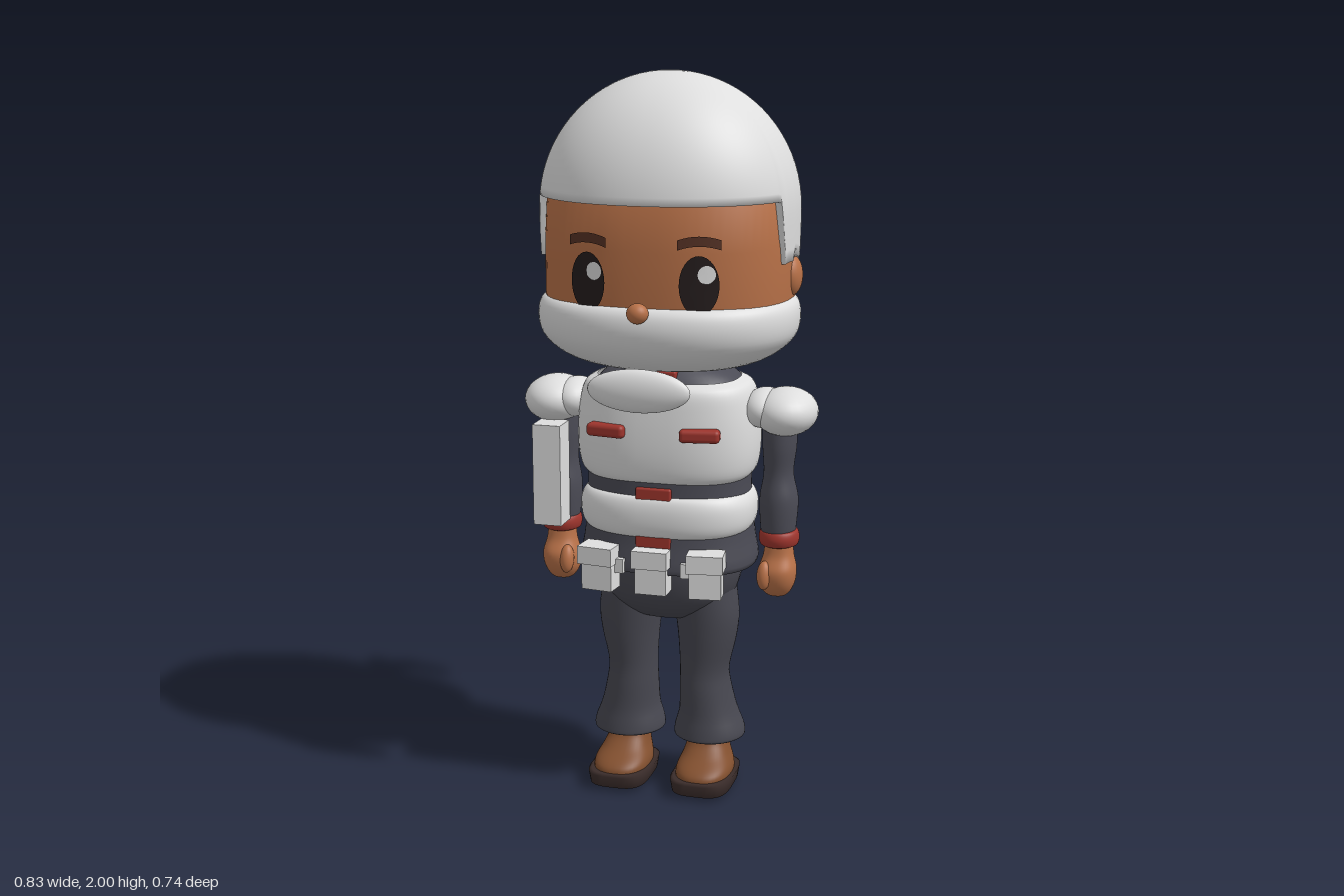
import * as THREE from 'three';
import { RoundedBoxGeometry } from 'three/addons/geometries/RoundedBoxGeometry.js';

const mat = (name, color, side = THREE.FrontSide) => {
  const m = new THREE.MeshStandardMaterial({ color, side });
  m.name = name;
  return m;
};

// Closed tube grid: point(angle, row) gives a position, rows run upwards
function grid(point, segs, rows) {
  const pos = [], idx = [];
  for (let j = 0; j < rows; j++)
    for (let i = 0; i < segs; i++) pos.push(...point((i / segs) * Math.PI * 2, j));
  for (let j = 0; j < rows - 1; j++)
    for (let i = 0; i < segs; i++) {
      const k = (i + 1) % segs, a = j * segs + i, b = j * segs + k;
      idx.push(a, a + segs, b, b, a + segs, b + segs);
    }
  const g = new THREE.BufferGeometry();
  g.setAttribute('position', new THREE.Float32BufferAttribute(pos, 3));
  g.setIndex(idx);
  g.computeVertexNormals();
  return g;
}

const sup = (c, n) => Math.sign(c) * Math.pow(Math.abs(c), 2 / n);

// Loft through rounded sections [y, radiusX, radiusZ, centreZ, centreX]
function loft(rows, n = 2, segs = 40) {
  return grid((a, j) => {
    const [y, rx, rz, cz = 0, cx = 0] = rows[j];
    return [cx + rx * sup(Math.cos(a), n), y, cz + rz * sup(Math.sin(a), n)];
  }, segs, rows.length);
}

// Rows smoothed with a spline
function smooth(rows, count = 28) {
  const p = new THREE.CatmullRomCurve3(rows.map(r => new THREE.Vector3(r[1], r[0], r[2])), false, 'centripetal');
  const q = new THREE.CatmullRomCurve3(rows.map(r => new THREE.Vector3(r[3] || 0, r[4] || 0, 0)), false, 'catmullrom');
  return Array.from({ length: count + 1 }, (_, i) => {
    const a = p.getPoint(i / count), b = q.getPoint(i / count);
    return [a.y, Math.max(a.x, 0), Math.max(a.z, 0), b.x, b.y];
  });
}

export function createModel() {
  const root = new THREE.Group();
  root.name = 'figure';
  const white = mat('white', 0xdedede, THREE.DoubleSide);
  const skin = mat('skin', 0xb87148);
  const cloth = mat('dark cloth', 0x4b4b55, THREE.DoubleSide);
  const trousers = mat('trousers', 0x474750, THREE.DoubleSide);
  const red = mat('red', 0x9e352d);
  const leather = mat('shoe brown', 0x83502f);
  const sole = mat('sole', 0x3a2c2a);
  const black = mat('eye black', 0x241c1c);
  const brown = mat('brow brown', 0x563225);

  const add = (name, geo, m, x = 0, y = 0, z = 0, parent = root) => {
    const mesh = new THREE.Mesh(geo, m);
    mesh.name = name;
    mesh.position.set(x, y, z);
    parent.add(mesh);
    return mesh;
  };
  const blob = (name, m, r, p, parent = root) => {
    const g = new THREE.SphereGeometry(1, 28, 18);
    g.scale(...r);
    return add(name, g, m, ...p, parent);
  };

  // Head and face
  const HX = 0.338, HZ = 0.285, HC = 0.025, HN = 2.3;
  add('head', loft([[1.2, 0, 0, HC], [1.22, 0.2, 0.17, HC], [1.3, 0.32, 0.27, HC], [1.4, HX, HZ, HC],
    [1.55, HX, HZ, HC], [1.7, 0.33, 0.28, HC], [1.85, 0.22, 0.19, HC], [1.92, 0, 0, HC]], HN, 64), skin);
  const onFace = (g, lift) => {
    const p = g.attributes.position;
    for (let i = 0; i < p.count; i++) {
      const x = p.getX(i);
      p.setZ(i, HC + HZ * Math.pow(1 - Math.pow(Math.abs(x) / HX, HN), 1 / HN) + lift);
    }
    g.computeVertexNormals();
    return g;
  };
  const disc = (rx, ry, x, y) => new THREE.CircleGeometry(1, 32).scale(rx, ry, 1).translate(x, y, 0);
  for (const s of [-1, 1]) {
    add('eye', onFace(disc(0.05, 0.078, s * 0.15, 1.468), 0.004), black);
    add('eyeHighlight', onFace(disc(0.022, 0.024, s * 0.15 + 0.02, 1.497), 0.007), white);
    const brow = new THREE.PlaneGeometry(0.108, 0.026, 12, 1);
    const p = brow.attributes.position;
    for (let i = 0; i < p.count; i++) p.setY(i, p.getY(i) + 0.008 - 3.5 * p.getX(i) ** 2);
    add('eyebrow', onFace(brow.translate(s * 0.15, 1.575, 0), 0.004), brown);
    blob('ear', skin, [0.03, 0.055, 0.045], [s * 0.33, 1.46, 0]);
  }
  blob('nose', skin, [0.029, 0.027, 0.028], [0, 1.398, 0.343]);

  // Hair cap: high fringe in front, stepping down at the temples
  const hairRows = 26;
  add('hairCap', grid((a, j) => {
    const n = 2.1, ux = sup(Math.cos(a), n), uz = sup(Math.sin(a), n);
    const z0 = 0.03 + 0.31 * uz;
    const step = THREE.MathUtils.smoothstep(z0, 0.12, 0.145);
    const nape = 1.5 + 0.01 * Math.sin(a * 9) + (Math.abs(z0) < 0.06 ? 0.018 : 0);
    const low = THREE.MathUtils.lerp(nape, 1.673, step);
    const t = Math.max(0, j - 1) / (hairRows - 2);
    const f = Math.sin((t * Math.PI) / 2);
    const y = low + (2 - low) * f;
    let r = y > 1.64 ? Math.sqrt(Math.max(0, 1 - ((y - 1.64) / 0.36) ** 2)) : 1 - 0.5 * (1.64 - y) ** 2;
    if (j === 0) r *= 0.9;
    return [0.354 * r * ux, y, 0.03 + 0.31 * r * uz];
  }, 160, hairRows), white);

  // Beard-like wrap around the jaw, with the knot and tails behind
  add('jawWrap', loft(smooth([[1.215, 0.15, 0.12, 0.035], [1.222, 0.22, 0.18, 0.037], [1.255, 0.3, 0.255, 0.037],
    [1.3, 0.347, 0.294, 0.037], [1.345, 0.358, 0.306, 0.037], [1.385, 0.353, 0.3, 0.037],
    [1.405, 0.335, 0.283, 0.035], [1.4, 0.3, 0.25, 0.03]]), 2.15, 72), white);
  blob('wrapKnot', white, [0.062, 0.05, 0.042], [0, 1.385, -0.318]);
  for (const s of [-1, 1]) {
    blob('knotLoop', white, [0.03, 0.03, 0.03], [s * 0.058, 1.385, -0.342]);
    blob('wrapTail', white, [0.026, 0.1, 0.029], [s * 0.05, 1.285, -0.34]).rotation.set(-0.06, 0, s * 0.1);
  }
  blob('frontKerchief', white, [0.14, 0.058, 0.033], [0, 1.193, 0.337]);

  // Neck and torso
  add('neck', loft([[1.1, 0.14, 0.11, 0.025], [1.2, 0.13, 0.105, 0.025], [1.27, 0.12, 0.1, 0.025]]), skin);
  add('shirt', loft(smooth([[0.68, 0.17, 0.13, 0.03], [0.655, 0.245, 0.185, 0.03], [0.74, 0.238, 0.175, 0.03],
    [0.88, 0.228, 0.165, 0.033], [1.02, 0.235, 0.165, 0.033], [1.12, 0.225, 0.155, 0.025],
    [1.18, 0.19, 0.135, 0.02], [1.215, 0.13, 0.105, 0.02]]), 2.4, 56), cloth);
  const band = (name, y0, y1, rx, rz, top) => {
    const h = y1 - y0, c = 0.035;
    add(name, loft(smooth([[y0, rx * 0.86, rz * 0.86, c], [y0 + h * 0.08, rx * 0.95, rz * 0.95, c],
      [y0 + h * 0.3, rx, rz, c], [y0 + h * 0.7, rx * top, rz * top, c],
      [y0 + h * 0.93, rx * top * 0.93, rz * top * 0.94, c], [y1, rx * 0.78, rz * 0.78, c]]), 2.5, 56), white);
  };
  band('chestVest', 0.9, 1.18, 0.253, 0.181, 0.98);
  band('waistBand', 0.75, 0.873, 0.244, 0.183, 1);
  add('sash', new RoundedBoxGeometry(0.1, 0.17, 0.02, 2, 0.006), red, 0, 0.81, 0.197);
  add('collarTab', new RoundedBoxGeometry(0.1, 0.05, 0.06, 2, 0.006), red, 0, 1.185, 0.125);
  for (const s of [-1, 1])
    add('chestTag', new RoundedBoxGeometry(0.11, 0.036, 0.04, 3, 0.012), red, s * 0.13, 1.05, 0.204).rotation.y = s * 0.15;

  // Hips, belt and pouches
  add('hips', loft(smooth([[0.49, 0.04, 0.04, 0.03], [0.5, 0.11, 0.085, 0.03], [0.55, 0.175, 0.13, 0.03],
    [0.62, 0.203, 0.148, 0.03], [0.72, 0.205, 0.15, 0.03]]), 2.2), trousers);
  add('backFlap', new RoundedBoxGeometry(0.2, 0.08, 0.03, 2, 0.008), trousers, 0, 0.655, -0.125);
  for (const i of [-1, 0, 1]) {
    const pouch = new THREE.Group();
    pouch.name = 'pouch';
    pouch.position.set(i * 0.15, 0.665, 0.205);
    pouch.rotation.y = i * 0.12;
    root.add(pouch);
    add('pouchBody', new THREE.BoxGeometry(0.088, 0.125, 0.06), white, 0, 0, 0, pouch);
    add('pouchLid', new THREE.BoxGeometry(0.1, 0.05, 0.075), white, 0, 0.038, 0.008, pouch);
    if (i) add('pouchTab', new THREE.BoxGeometry(0.025, 0.04, 0.04), white, -i * 0.058, 0.008, -0.01, pouch);
  }

  // Limbs, built for the left and mirrored through the sign
  for (const s of [-1, 1]) {
    const at = rows => smooth(rows.map(([y, rx, rz, cz, cx]) => [y, rx, rz, cz, s * cx]));
    blob('shoulderPad', white, [0.088, 0.066, 0.106], [s * 0.328, 1.093, 0.035]);
    blob('shoulderPadInner', white, [0.06, 0.055, 0.09], [s * 0.27, 1.1, 0.035]);
    add('sleeve', loft(at([[0.73, 0.044, 0.048, 0.042, 0.312], [0.78, 0.05, 0.056, 0.04, 0.312],
      [0.85, 0.053, 0.06, 0.037, 0.312], [0.92, 0.041, 0.05, 0.035, 0.31], [1.0, 0.047, 0.055, 0.035, 0.312],
      [1.1, 0.048, 0.05, 0.035, 0.312]])), cloth);
    add('cuffRing', loft(at([[0.717, 0.042, 0.046, 0.042, 0.315], [0.722, 0.052, 0.055, 0.042, 0.315],
      [0.74, 0.056, 0.06, 0.042, 0.315], [0.758, 0.052, 0.055, 0.042, 0.315],
      [0.764, 0.04, 0.044, 0.042, 0.315]])), red);
    add('hand', loft(at([[0.57, 0, 0, 0.045, 0.312], [0.578, 0.03, 0.033, 0.045, 0.312],
      [0.61, 0.049, 0.052, 0.05, 0.312], [0.65, 0.052, 0.055, 0.052, 0.314], [0.69, 0.042, 0.042, 0.045, 0.315],
      [0.73, 0.038, 0.038, 0.042, 0.315]]), 2.3), skin);
    blob('thumb', skin, [0.02, 0.04, 0.022], [s * 0.285, 0.64, 0.095]).rotation.x = -0.2;

    add('leg', loft(at([[0.155, 0.06, 0.06, 0.035, 0.117], [0.14, 0.1, 0.1, 0.035, 0.118],
      [0.16, 0.1, 0.1, 0.034, 0.118], [0.21, 0.084, 0.09, 0.035, 0.115], [0.28, 0.074, 0.08, 0.04, 0.108],
      [0.34, 0.07, 0.072, 0.043, 0.105], [0.43, 0.082, 0.078, 0.042, 0.112], [0.5, 0.09, 0.083, 0.04, 0.112],
      [0.58, 0.088, 0.09, 0.035, 0.105]])), trousers);
    add('shoe', loft(at([[0.035, 0.078, 0.11, 0.095, 0.12], [0.065, 0.078, 0.105, 0.09, 0.12],
      [0.1, 0.064, 0.078, 0.06, 0.118], [0.13, 0.056, 0.062, 0.045, 0.116], [0.18, 0.055, 0.058, 0.038, 0.116]]), 2.4), leather);
    add('sole', loft([[0.005, 0, 0, 0.092, s * 0.12], [0.005, 0.07, 0.105, 0.092, s * 0.12],
      [0.012, 0.083, 0.12, 0.092, s * 0.12], [0.044, 0.088, 0.125, 0.092, s * 0.12],
      [0.05, 0.08, 0.117, 0.092, s * 0.12], [0.05, 0, 0, 0.092, s * 0.12]], 3.4), sole);
    add('solePatch', new THREE.CylinderGeometry(0.045, 0.045, 0.006, 28).scale(1, 1, 1.3), leather, s * 0.12, 0.003, 0.085);
  }

  // Flat case carried in front of the right arm
  add('armCase', new THREE.BoxGeometry(0.08, 0.285, 0.08), white, -0.315, 0.9, 0.132);
  return root;
}
